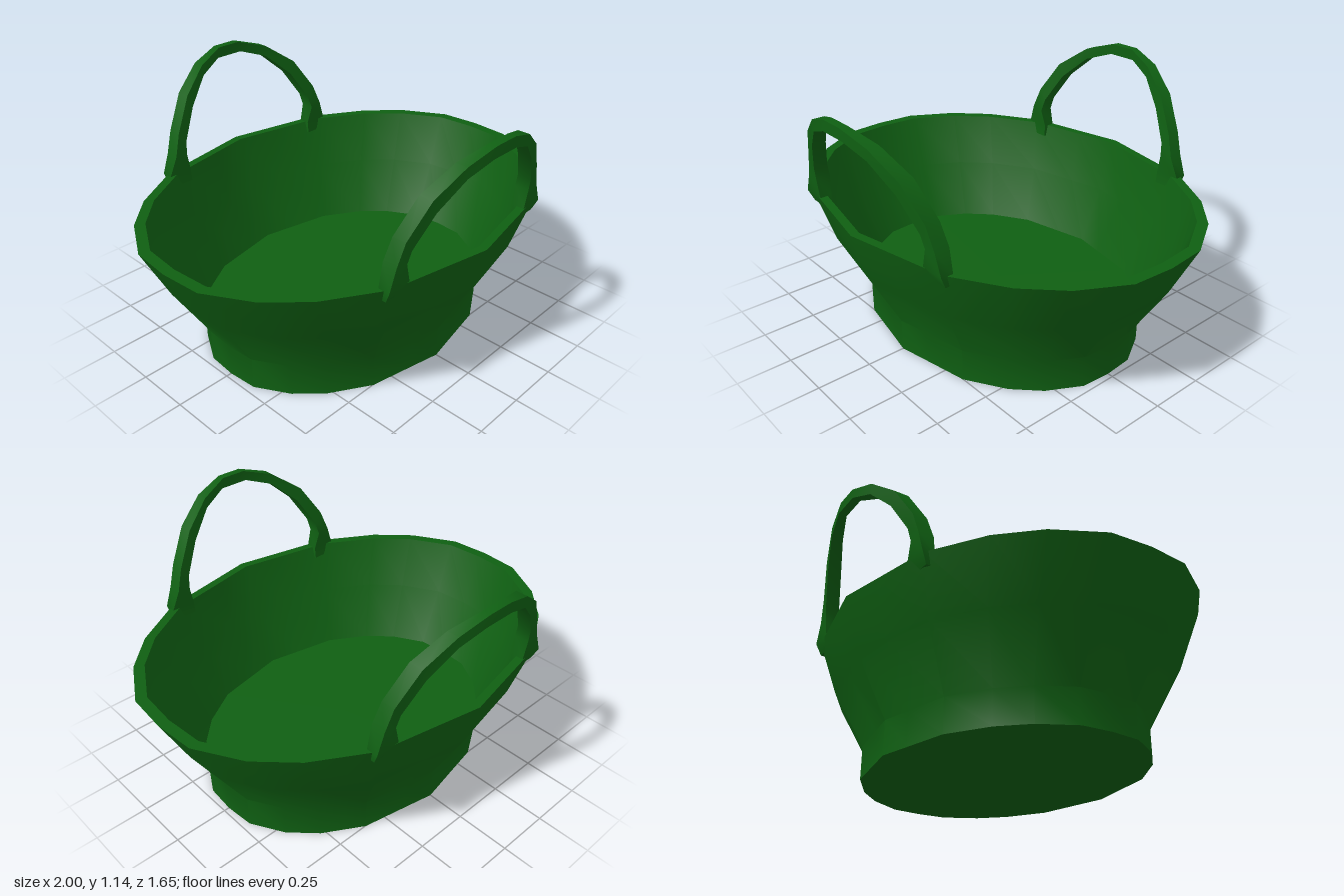
import * as THREE from 'three';
import { toCreasedNormals } from 'three/addons/utils/BufferGeometryUtils.js';

const green = new THREE.MeshStandardMaterial({ color: 0x0f5f12 });

// Skin a list of equal-length closed rings; a collapsed ring closes an end.
function loft(rings, crease) {
  const out = [];
  const tri = (a, b, c) => {
    const n = b.clone().sub(a).cross(c.clone().sub(a));
    if (n.length() > 1e-9) for (const p of [a, b, c]) out.push(p.x, p.y, p.z);
  };
  for (let i = 0; i < rings.length - 1; i++) {
    const lo = rings[i], hi = rings[i + 1], n = lo.length;
    for (let j = 0; j < n; j++) {
      const k = (j + 1) % n;
      tri(lo[j], hi[j], hi[k]);
      tri(lo[j], hi[k], lo[k]);
    }
  }
  const g = new THREE.BufferGeometry();
  g.setAttribute('position', new THREE.Float32BufferAttribute(out, 3));
  return toCreasedNormals(g, crease);
}

// Faceted oval outline, one quadrant mirrored into a full loop
const quadrant = [[1, 0], [0.985, 0.19], [0.87, 0.395], [0.72, 0.545], [0.48, 0.69], [0.2, 0.745], [0, 0.785]];
const oval = [
  ...quadrant,
  ...quadrant.slice(0, -1).reverse().map(([x, z]) => [-x, z]),
  ...quadrant.slice(1).map(([x, z]) => [-x, -z]),
  ...quadrant.slice(1, -1).reverse().map(([x, z]) => [x, -z]),
];

function makeBowl() {
  // x scale, z scale, height: up the outside, over the rim, down to the floor
  const profile = [
    [0, 0, 0], [0.725, 0.727, 0], [0.725, 0.727, 0.15], [0.88, 0.905, 0.41], [1, 1, 0.655],
    [0.95, 0.95, 0.655], [0.86, 0.875, 0.41], [0.722, 0.725, 0.155], [0, 0, 0.155],
  ];
  const rings = profile.map(([sx, sz, y]) => oval.map(([x, z]) => new THREE.Vector3(x * sx, y, z * sz)));
  return new THREE.Mesh(loft(rings, 0.6), green);
}

function makeHandle() {
  // outer x, y, inner x, y, outer z, inner z: from the foot to the crown
  const half = [
    [0.49, 0.6, 0.385, 0.6, 0.68, 0.645],
    [0.5, 0.655, 0.385, 0.655, 0.705, 0.65],
    [0.465, 0.75, 0.405, 0.74, 0.706, 0.638],
    [0.43, 0.85, 0.393, 0.8, 0.717, 0.652],
    [0.335, 1.0, 0.31, 0.94, 0.757, 0.692],
    [0.2, 1.1, 0.195, 1.05, 0.8, 0.745],
    [0.06, 1.145, 0.07, 1.095, 0.825, 0.788],
  ];
  const stations = [...half, ...half.slice().reverse().map(([a, b, c, d, e, f]) => [-a, b, -c, d, e, f])];
  const rings = stations.map(([xo, yo, xi, yi, zo, zi]) => [
    new THREE.Vector3(xo, yo, zi), new THREE.Vector3(xo, yo, zo),
    new THREE.Vector3(xi, yi, zo), new THREE.Vector3(xi, yi, zi),
  ]);
  // close both feet
  const collapse = (r) => {
    const c = r.reduce((s, p) => s.add(p), new THREE.Vector3()).multiplyScalar(0.25);
    return r.map(() => c);
  };
  const closed = [collapse(rings[0]), ...rings, collapse(rings[rings.length - 1])];
  return new THREE.Mesh(loft(closed, 0.7), green);
}

export function createModel() {
  const group = new THREE.Group();
  group.name = 'basket';

  const bowl = makeBowl();
  bowl.name = 'bowl';
  group.add(bowl);

  // Matching arched handles on the two long sides
  ['frontHandle', 'backHandle'].forEach((name, i) => {
    const handle = makeHandle();
    handle.name = name;
    handle.rotation.y = i * Math.PI;
    group.add(handle);
  });
  return group;
}
